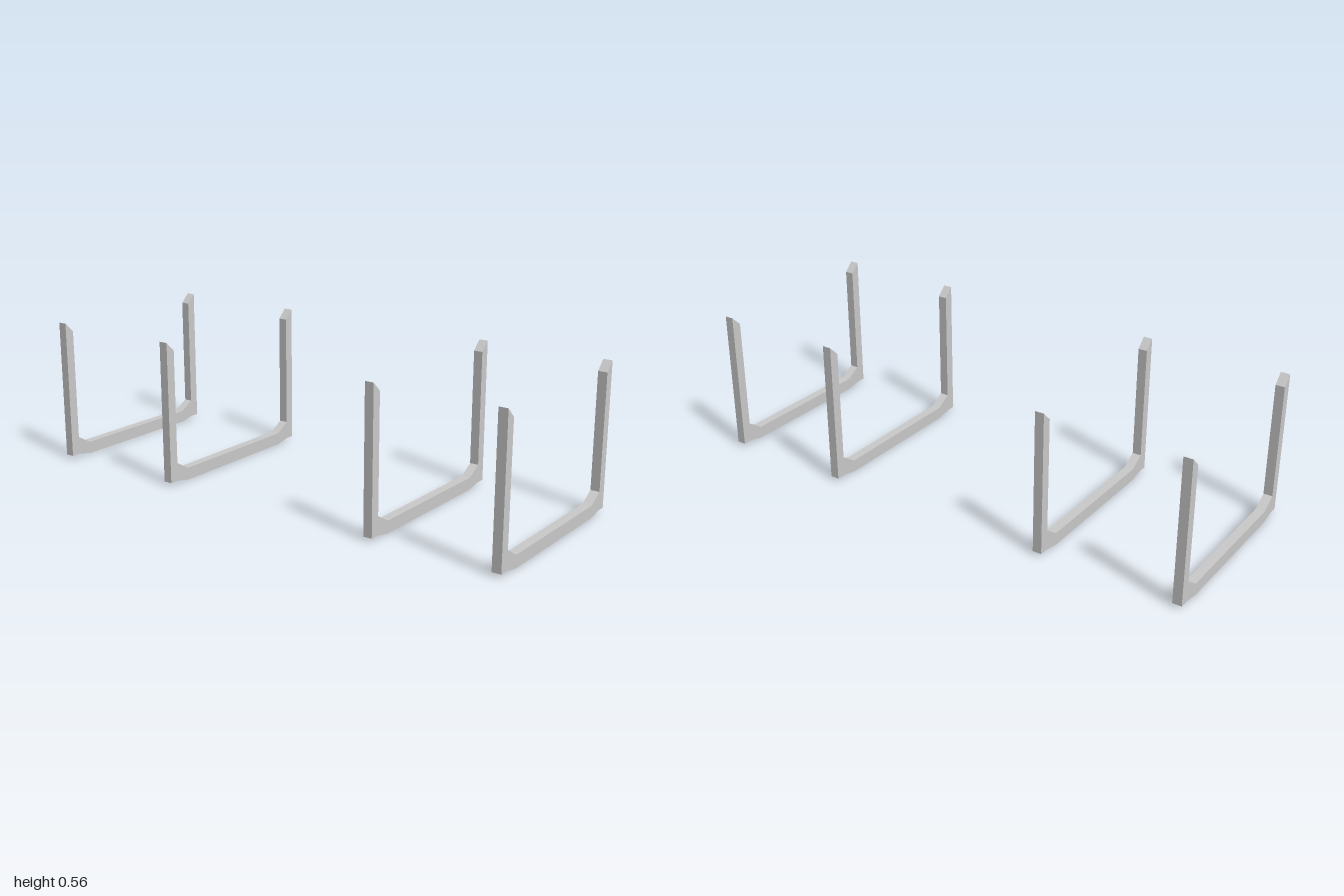
import * as THREE from 'three';

export function createModel() {
  const group = new THREE.Group();
  const material = new THREE.MeshStandardMaterial({ color: 0xcccccc, flatShading: true });
  const depth = 0.035;

  // Right half of the U-shaped profile: underside, post, slanted tip, inner brace
  const half = [
    [0.277, 0], [0.335, 0.012], [0.372, 0.012], [0.372, 0.559],
    [0.335, 0.523], [0.335, 0.083], [0.277, 0.048],
  ];
  const mirrored = half.map(([x, y]) => [-x, y]).reverse();
  const profile = new THREE.Shape([...half, ...mirrored].map(([x, y]) => new THREE.Vector2(x, y)));

  const geometry = new THREE.ExtrudeGeometry(profile, { depth, bevelEnabled: false });
  geometry.translate(0, 0, -depth / 2);

  // Four identical cradle frames, in two pairs along z
  const frames = { frontFrame: 0.9825, frontInnerFrame: 0.486, rearInnerFrame: -0.439, rearFrame: -0.9825 };
  for (const [name, z] of Object.entries(frames)) {
    const frame = new THREE.Mesh(geometry, material);
    frame.name = name;
    frame.position.z = z;
    group.add(frame);
  }
  return group;
}
